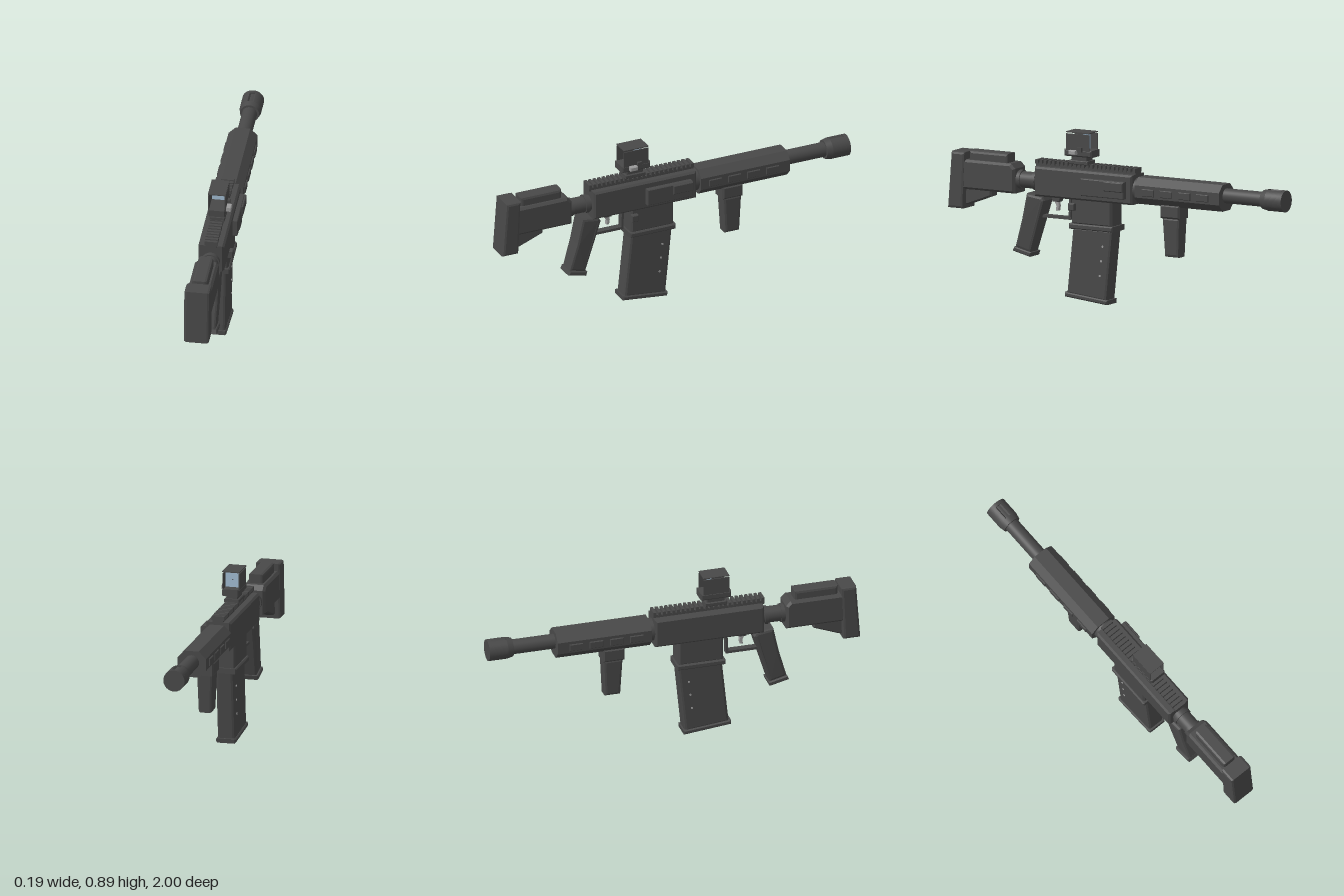
import * as THREE from 'three';

const CX = -0.012; // centre line of the body; side controls stick out to +x

const mat = (name, color, side = THREE.FrontSide) => {
  const m = new THREE.MeshStandardMaterial({ color, side });
  m.name = name;
  return m;
};

export function createModel() {
  const root = new THREE.Group();
  root.name = 'toyBlaster';
  const dark = mat('dark grey', 0x484848);
  const steel = mat('light steel', 0x9a9a9a);
  const glass = mat('pale blue glass', 0x9fbad0, THREE.DoubleSide);

  const add = (name, geo, m = dark, parent = root) => {
    const mesh = new THREE.Mesh(geo, m);
    mesh.name = name;
    parent.add(mesh);
  };
  const group = (name) => {
    const g = new THREE.Group();
    g.name = name;
    root.add(g);
    return g;
  };

  // Side profile of [z, y] points, extruded across x with bevelled edges
  const slab = (pts, width, bevel = 0.008, x = CX) => {
    const shape = new THREE.Shape(pts.map(([z, y]) => new THREE.Vector2(-z, y)));
    const geo = new THREE.ExtrudeGeometry(shape, {
      depth: width - 2 * bevel, bevelEnabled: bevel > 0, bevelSize: bevel,
      bevelThickness: bevel, bevelOffset: -bevel, bevelSegments: bevel > 0.012 ? 2 : 1,
    });
    geo.translate(0, 0, -(width - 2 * bevel) / 2).rotateY(Math.PI / 2).translate(x, 0, 0);
    return geo;
  };
  // Bevelled block between z and y limits
  const block = (z0, z1, y0, y1, width, bevel, x) =>
    slab([[z0, y0], [z1, y0], [z1, y1], [z0, y1]], width, bevel, x);
  // Plain box from its limits
  const box = (x0, x1, y0, y1, z0, z1) =>
    new THREE.BoxGeometry(x1 - x0, y1 - y0, z1 - z0)
      .translate((x0 + x1) / 2, (y0 + y1) / 2, (z0 + z1) / 2);
  // Cylinder along z; the first radius is at the larger z
  const rod = (rBack, rFront, zBack, zFront, y) =>
    new THREE.CylinderGeometry(rFront, rBack, zBack - zFront, 32)
      .rotateX(-Math.PI / 2).translate(CX, y, (zBack + zFront) / 2);
  // Widen or narrow in x by height
  const taperX = (geo, y0, s0, y1, s1) => {
    const p = geo.attributes.position;
    for (let i = 0; i < p.count; i++) {
      const t = THREE.MathUtils.clamp((p.getY(i) - y0) / (y1 - y0), 0, 1);
      p.setX(i, CX + (p.getX(i) - CX) * (s0 + (s1 - s0) * t));
    }
    geo.computeVertexNormals();
    return geo;
  };

  // Stock: butt pad, body, cheek rest, lower brace
  add('buttPad', slab([[0.978, 0.735], [0.895, 0.735], [0.908, 0.437], [1, 0.437]], 0.134, 0.013));
  add('stockBody', slab([[0.92, 0.54], [0.6, 0.54], [0.6, 0.67], [0.625, 0.695], [0.92, 0.695]], 0.124, 0.012));
  add('cheekRest', block(0.65, 0.885, 0.67, 0.743, 0.08, 0.014));
  add('stockBrace', slab([[0.92, 0.455], [0.89, 0.458], [0.755, 0.51], [0.755, 0.545], [0.92, 0.545]], 0.07, 0.008));

  // Stock tube with rings
  add('stockTube', rod(0.043, 0.043, 0.61, 0.47, 0.61));
  for (const z of [0.59, 0.5]) add('tubeRing', rod(0.049, 0.049, z + 0.01, z - 0.01, 0.61));

  // Receiver
  add('receiver', block(-0.11, 0.478, 0.54, 0.695, 0.136, 0.01));
  add('receiverNeck', rod(0.06, 0.06, -0.1, -0.14, 0.618));
  add('portPlate', block(-0.075, 0.183, 0.57, 0.66, 0.035, 0.004, 0.065));
  add('boltCover', block(-0.075, 0.04, 0.607, 0.657, 0.03, 0.004, 0.077));
  add('magazineRelease', block(0.229, 0.266, 0.485, 0.522, 0.03, 0.004, 0.055));

  // Top rail with teeth
  const rail = group('topRail');
  add('railBase', box(CX - 0.028, CX + 0.028, 0.69, 0.71, -0.11, 0.49), dark, rail);
  for (let i = 0; i < 24; i++) {
    const z = -0.11 + i * 0.0254;
    add('railTooth', box(CX - 0.034, CX + 0.034, 0.705, 0.727, z, z + 0.0158), dark, rail);
  }

  // Handguard: chamfered section along z, with raised side panels
  const w = 0.076, y0 = 0.547, y1 = 0.687, c = 0.038;
  const section = new THREE.Shape([
    [-w + c, y0], [w - c, y0], [w, y0 + c], [w, y1 - c],
    [w - c, y1], [-w + c, y1], [-w, y1 - c], [-w, y0 + c],
  ].map(([x, y]) => new THREE.Vector2(x, y)));
  add('handguard', new THREE.ExtrudeGeometry(section, { depth: 0.508, bevelEnabled: false })
    .translate(CX, 0, -0.64));
  for (let i = 0; i < 4; i++) {
    const z = -0.25 - i * 0.109;
    for (const s of [-1, 1])
      add('handguardPanel', block(z, z + 0.073, 0.596, 0.634, 0.02, 0.003, CX + s * 0.073));
  }

  // Barrel and muzzle with slots cut above and below
  add('barrel', rod(0.039, 0.039, -0.63, -0.89, 0.626));
  add('muzzleCollar', rod(0.05, 0.057, -0.868, -0.9, 0.626));
  const ring = [];
  for (let i = 0; i < 64; i++) {
    const a = (i / 64) * Math.PI * 2;
    const r = Math.abs(Math.sin(a)) > 0.97 ? 0.047 : 0.057;
    ring.push(new THREE.Vector2(Math.cos(a) * r, Math.sin(a) * r));
  }
  add('slottedMuzzle', new THREE.ExtrudeGeometry(new THREE.Shape(ring), { depth: 0.08, bevelEnabled: false })
    .translate(CX, 0.626, -0.98));
  add('muzzleTip', rod(0.057, 0.057, -0.98, -1, 0.626));

  // Front hand grip
  add('foregripMount', block(-0.386, -0.268, 0.483, 0.557, 0.1, 0.01));
  add('foregrip', taperX(slab([[-0.382, 0.49], [-0.276, 0.49], [-0.288, 0.281], [-0.373, 0.281]], 0.086, 0.014),
    0.281, 0.85, 0.49, 1));

  // Magazine well, collar and magazine
  add('magazineWell', block(0.018, 0.26, 0.41, 0.55, 0.116, 0.01));
  add('magazineCollar', block(0.008, 0.27, 0.386, 0.415, 0.132, 0.006));
  add('magazine', slab([[0.258, 0.395], [0.018, 0.395], [0.056, 0.015], [0.295, 0.04]], 0.094, 0.014));
  add('magazineBase', slab([[0.304, 0.05], [0.304, 0.026], [0.05, 0], [0.047, 0.024]], 0.106, 0.006));
  for (const [z, y] of [[0.077, 0.305], [0.085, 0.228], [0.093, 0.15]])
    add('magazinePin', new THREE.CylinderGeometry(0.006, 0.006, 0.1, 12)
      .rotateZ(Math.PI / 2).translate(CX, y, z), steel);

  // Pistol grip
  add('pistolGrip', taperX(slab([
    [0.535, 0.548], [0.44, 0.535], [0.428, 0.515], [0.455, 0.43], [0.515, 0.235], [0.608, 0.26], [0.565, 0.41],
  ], 0.104, 0.014), 0.25, 0.84, 0.46, 1));
  add('gripBase', slab([[0.608, 0.262], [0.618, 0.24], [0.514, 0.215], [0.506, 0.238]], 0.102, 0.005));

  // Trigger and guard
  add('guardBar', box(CX - 0.018, CX + 0.018, 0.424, 0.438, 0.285, 0.46));
  add('guardPost', slab([[0.299, 0.43], [0.287, 0.43], [0.282, 0.545], [0.294, 0.545]], 0.036, 0));
  add('triggerHousing', slab([[0.405, 0.545], [0.345, 0.545], [0.355, 0.512], [0.395, 0.512]], 0.04, 0.003));
  add('trigger', slab([[0.392, 0.52], [0.366, 0.52], [0.36, 0.49], [0.364, 0.465], [0.38, 0.465], [0.378, 0.49]],
    0.022, 0.003), steel);

  // Reflex sight: mount, base, open hood, lens and knobs
  const sight = group('sight');
  const sx = -0.01;
  add('sightFoot', block(0.17, 0.285, 0.722, 0.742, 0.08, 0.003, sx), dark, sight);
  add('sightMount', block(0.18, 0.275, 0.73, 0.77, 0.062, 0.004, sx), dark, sight);
  add('sightBase', block(0.145, 0.308, 0.763, 0.8, 0.092, 0.007, sx), dark, sight);
  for (const s of [-1, 1])
    add('hoodWall', box(sx + s * 0.043 - 0.0025, sx + s * 0.043 + 0.0025, 0.795, 0.882, 0.157, 0.297), dark, sight);
  add('hoodRoof', box(sx - 0.046, sx + 0.046, 0.888, 0.893, 0.157, 0.297), dark, sight);
  add('lens', box(sx - 0.038, sx + 0.038, 0.8, 0.881, 0.198, 0.202), glass, sight);
  add('aimingDot', new THREE.CylinderGeometry(0.003, 0.003, 0.008, 12)
    .rotateX(Math.PI / 2).translate(sx, 0.84, 0.2), dark, sight);
  add('adjusterKnob', block(0.228, 0.27, 0.776, 0.798, 0.035, 0.003, 0.043), steel, sight);
  add('sideScrew', box(0.026, 0.048, 0.79, 0.814, 0.198, 0.222), dark, sight);

  return root;
}
